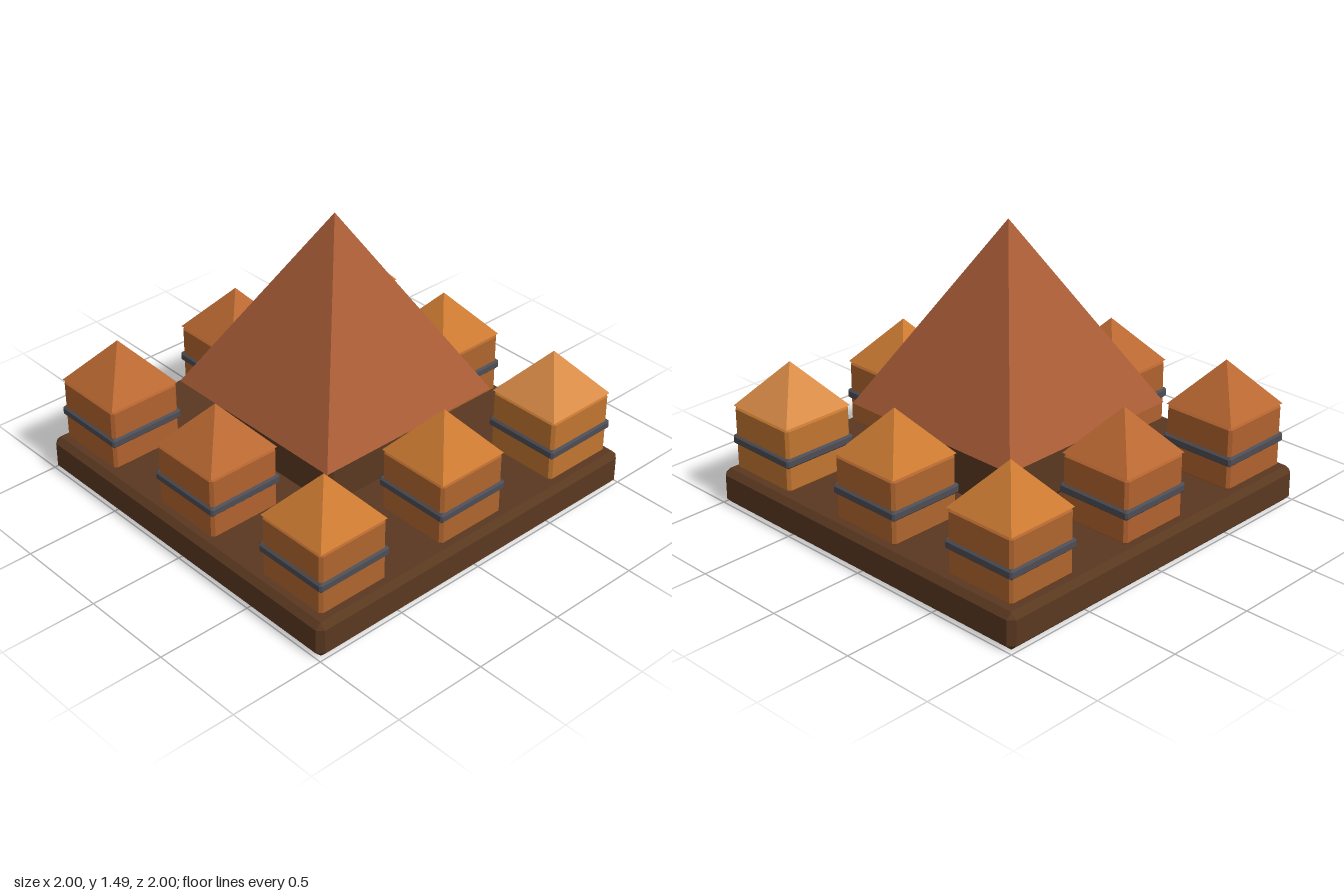
import * as THREE from 'three';
import { ConvexGeometry } from 'three/addons/geometries/ConvexGeometry.js';

const mat = (color) => new THREE.MeshStandardMaterial({ color, flatShading: true });

// Box with all edges cut by a flat chamfer, standing on y = y0
function chamferBox(name, half, y0, y1, c, material) {
  const h = (y1 - y0) / 2, pts = [];
  for (const x of [-1, 1]) for (const y of [-1, 1]) for (const z of [-1, 1]) {
    const a = half - c, b = h - c;
    pts.push(
      new THREE.Vector3(x * half, y * b, z * a),
      new THREE.Vector3(x * a, y * h, z * a),
      new THREE.Vector3(x * a, y * b, z * half));
  }
  const mesh = new THREE.Mesh(new ConvexGeometry(pts), material);
  mesh.name = name;
  mesh.position.y = (y0 + y1) / 2;
  return mesh;
}

// Square pyramid aligned with the axes
function pyramid(name, half, y0, y1, material) {
  const geo = new THREE.ConeGeometry(half * Math.SQRT2, y1 - y0, 4).rotateY(Math.PI / 4);
  const mesh = new THREE.Mesh(geo, material);
  mesh.name = name;
  mesh.position.y = (y0 + y1) / 2;
  return mesh;
}

export function createModel() {
  const model = new THREE.Group();
  const wood = mat(0x5a3820), iron = mat(0x4c4c54), rust = mat(0xa85c36);
  // Wall and roof tones of the small towers
  const red = [mat(0xb0622e), mat(0xba6832)];
  const orange = [mat(0xb0652e), mat(0xcc7a32)];
  const light = [mat(0xc07530), mat(0xda8c48)];

  // Plinth, central block and great roof
  model.add(chamferBox('base', 1, 0, 0.19, 0.03, wood));
  model.add(chamferBox('centralBlock', 0.395, 0.19, 0.54, 0.03, wood));
  model.add(pyramid('centralRoof', 0.535, 0.54, 1.49, rust));

  // Ring of eight banded towers, rows from back to front
  const tones = [[orange, orange, light], [red, null, orange], [red, red, orange]];
  tones.forEach((row, j) => row.forEach((tone, i) => {
    if (!tone) return;
    const tower = new THREE.Group();
    tower.name = 'tower';
    tower.add(
      chamferBox('towerWalls', 0.2, 0.19, 0.53, 0.015, tone[0]),
      chamferBox('towerBand', 0.21, 0.325, 0.375, 0.01, iron),
      pyramid('towerRoof', 0.2, 0.53, 0.765, tone[1]));
    tower.position.set((i - 1) * 0.745, 0, (j - 1) * 0.745);
    model.add(tower);
  }));
  return model;
}
